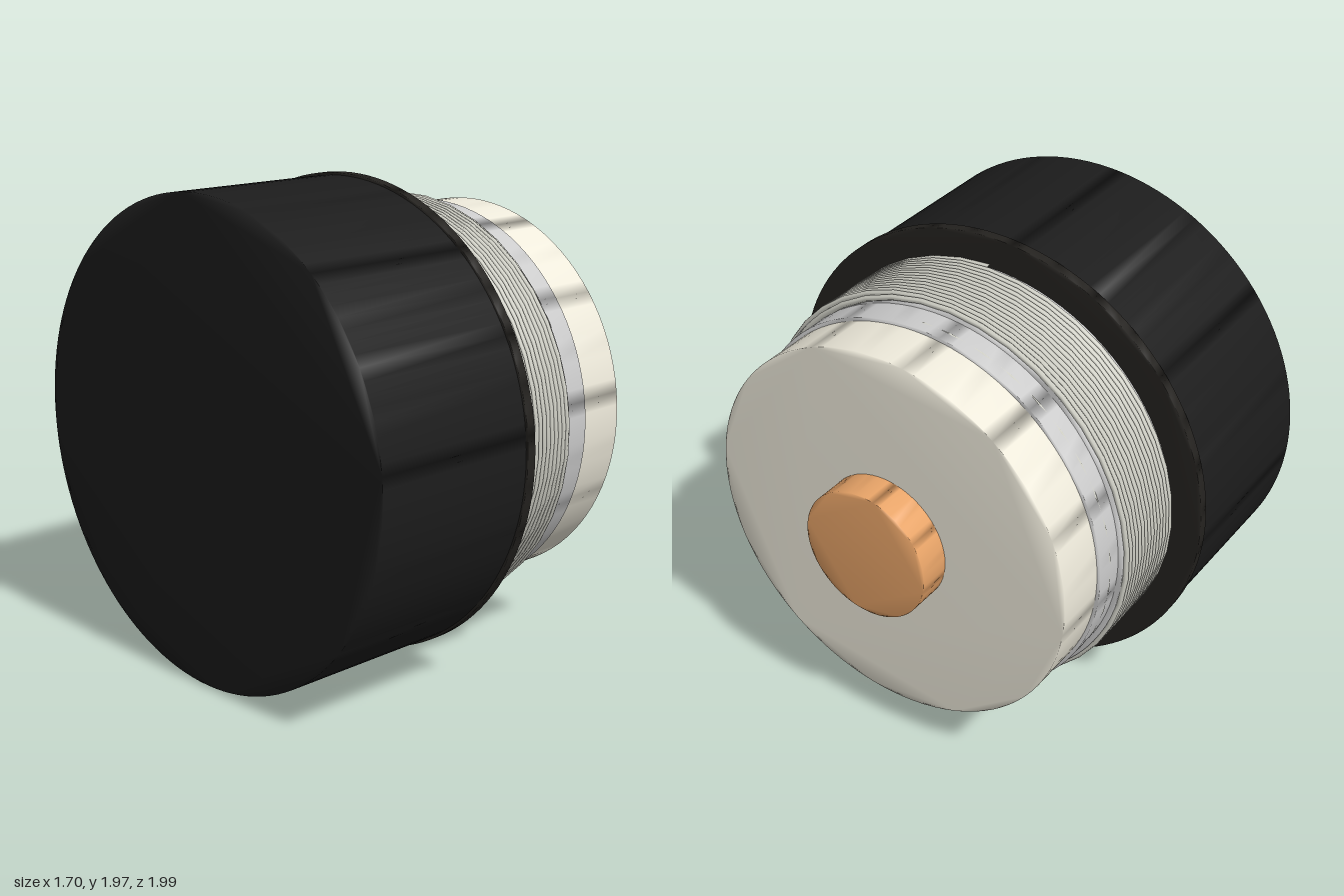
import * as THREE from 'three';
import { mergeVertices } from 'three/addons/utils/BufferGeometryUtils.js';

const material = (color) => new THREE.MeshStandardMaterial({ color });

// Solid disc along the x axis from x0 to x1, with normals softened across the rim
function disc(name, radius, x0, x1, color, segments = 48) {
  const shape = new THREE.Shape().absarc(0, 0, radius, 0, Math.PI * 2);
  let geometry = new THREE.ExtrudeGeometry(shape, {
    depth: x1 - x0, bevelEnabled: false, curveSegments: segments,
  });
  geometry.deleteAttribute('normal');
  geometry.deleteAttribute('uv');
  geometry = mergeVertices(geometry, 1e-5);
  geometry.computeVertexNormals();
  geometry.rotateY(Math.PI / 2).translate(x0, 0, 0);
  const mesh = new THREE.Mesh(geometry, material(color));
  mesh.name = name;
  return mesh;
}

// Helical path around the x axis; the last turn runs out under the collar
class CoilPath extends THREE.Curve {
  constructor(radius, x0, x1, turns) {
    super();
    Object.assign(this, { radius, x0, x1, turns });
  }
  getPoint(t, target = new THREE.Vector3()) {
    const turn = t * (this.turns + 1);
    const tail = Math.max(0, turn - this.turns);
    const x = this.x0 + (this.x1 - this.x0) * Math.min(1, turn / this.turns) + tail * 0.09;
    const r = this.radius - Math.min(1, tail * 4) * 0.039;
    const a = turn * Math.PI * 2;
    return target.set(x, r * Math.cos(a), r * Math.sin(a));
  }
}

export function createModel() {
  const model = new THREE.Group();
  model.name = 'woundCylinder';

  // Stacked body, leaning slightly off the x axis
  const body = new THREE.Group();
  body.name = 'body';
  body.position.set(0, 0.993, 0.007);
  body.rotation.y = -0.041;
  model.add(body);

  body.add(
    disc('housing', 0.975, -0.812, -0.055, 0x1c1c1c, 64),
    disc('housingRim', 0.985, -0.06, -0.02, 0x24221f, 64),
    disc('coilCore', 0.852, -0.03, 0.345, 0xcccccc),
    disc('collar', 0.83, 0.3, 0.473, 0xe0e2e0),
    disc('cap', 0.815, 0.44, 0.697, 0xeeeadb),
    disc('terminal', 0.279, 0.66, 0.834, 0xe8a468, 32),
  );

  // Wire wound tightly around the core
  const turns = 15;
  const path = new CoilPath(0.859, -0.01, 0.336, turns);
  const coil = new THREE.Mesh(
    new THREE.TubeGeometry(path, (turns + 1) * 40, 0.0125, 6, false),
    material(0xd2d2c8),
  );
  coil.name = 'wireCoil';
  body.add(coil);

  return model;
}
